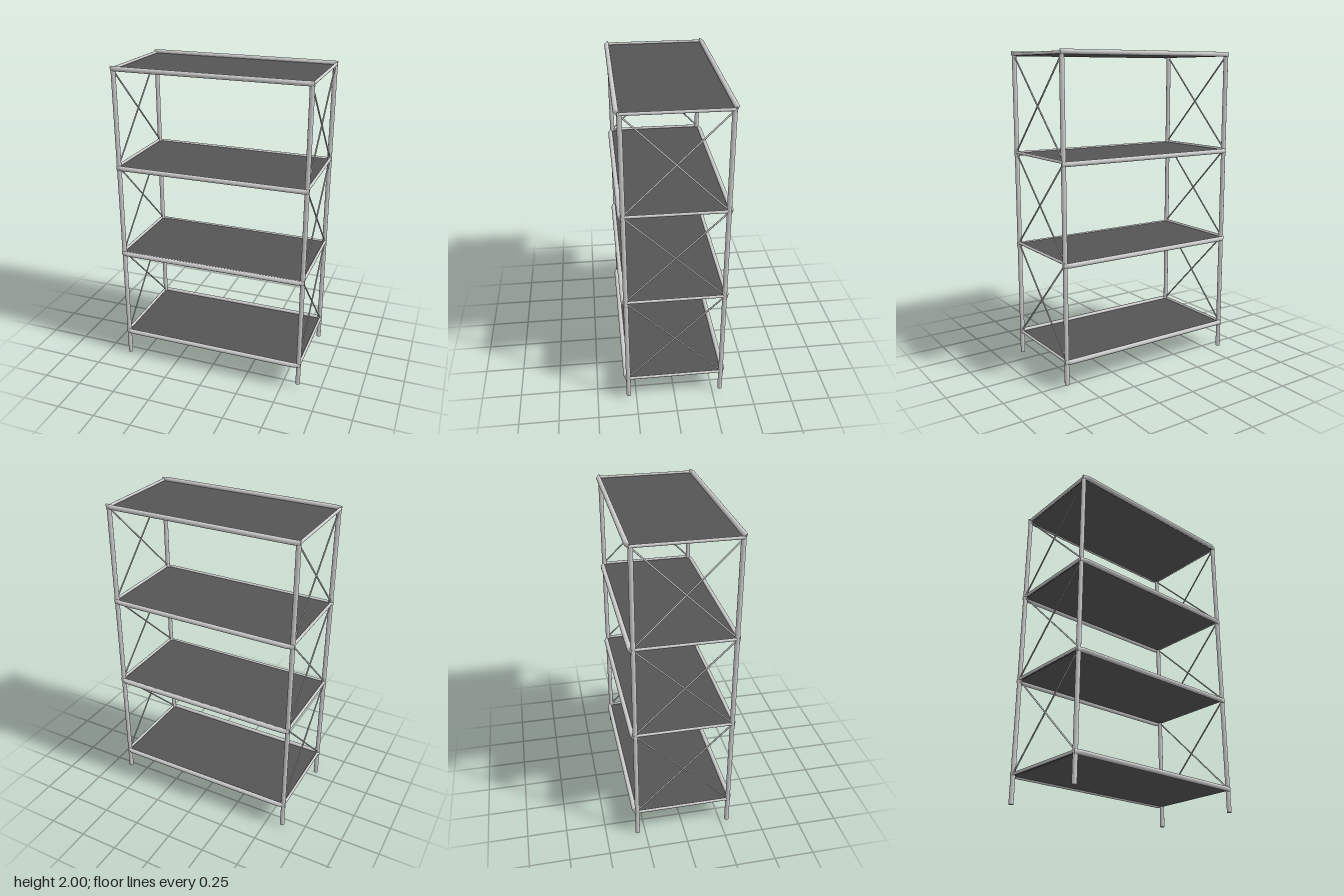
import * as THREE from 'three';

const grey = new THREE.MeshStandardMaterial({ color: 0xcccccc });
const dark = new THREE.MeshStandardMaterial({ color: 0x555555 });

// Round bar between two points
function bar(name, a, b, radius, sides = 14) {
  const from = new THREE.Vector3(...a), to = new THREE.Vector3(...b);
  const dir = to.clone().sub(from);
  const mesh = new THREE.Mesh(new THREE.CylinderGeometry(radius, radius, dir.length(), sides), grey);
  mesh.name = name;
  mesh.position.copy(from).add(to).multiplyScalar(0.5);
  mesh.quaternion.setFromUnitVectors(new THREE.Vector3(0, 1, 0), dir.normalize());
  return mesh;
}

// Long tube along x whose ends are pinched flat towards the posts
function pinchedRail(length, radius, inward) {
  const rings = [-0.5, -0.465, 0.465, 0.5];
  const geo = new THREE.CylinderGeometry(radius, radius, length, 16, 3);
  geo.rotateZ(-Math.PI / 2);
  const p = geo.attributes.position;
  for (let i = 0; i < p.count; i++) {
    const ring = Math.round((p.getX(i) / length + 0.5) * 3);
    p.setX(i, rings[ring] * length);
    if (ring === 0 || ring === 3) p.setZ(i, p.getZ(i) * 0.3 + inward * 0.008);
  }
  geo.computeVertexNormals();
  return geo;
}

export function createModel() {
  const model = new THREE.Group();
  const X = 0.604, Z = 0.299;
  const railY = [0.174, 0.77, 1.364, 1.985];
  const sideY = [0.178, 0.784, 1.375, 1.982];

  // Corner posts, the left pair ending a little higher
  for (const sx of [-1, 1]) {
    for (const sz of [-1, 1]) {
      model.add(bar('post', [sx * X, sx > 0 ? 0.03 : 0, sz * Z], [sx * X, 1.976, sz * Z], 0.0145));
    }
  }

  railY.forEach((y, i) => {
    const level = new THREE.Group();
    level.name = 'shelfLevel';

    // Thin shelf panel
    const panel = new THREE.Mesh(new THREE.BoxGeometry(1.2, 0.006, 0.61), dark);
    panel.name = 'shelfPanel';
    panel.position.y = sideY[i] - 0.007;
    level.add(panel);

    // Front and back rails
    for (const sz of [-1, 1]) {
      const rail = new THREE.Mesh(pinchedRail(1.236, 0.015, -sz), grey);
      rail.name = sz > 0 ? 'frontRail' : 'backRail';
      rail.position.set(0, y, sz * 0.314);
      level.add(rail);
    }

    // Thin side rails
    for (const sx of [-1, 1]) {
      level.add(bar('sideRail', [sx * 0.609, sideY[i], -0.31], [sx * 0.609, sideY[i], 0.31], 0.009));
    }
    model.add(level);
  });

  // Crossed side braces in each bay
  for (let i = 0; i < 3; i++) {
    const low = sideY[i] + 0.005, high = sideY[i + 1] - 0.008;
    for (const sx of [-1, 1]) {
      for (const sz of [-1, 1]) {
        model.add(bar('crossBrace', [sx * X, low, sz * Z], [sx * X, high, -sz * Z], 0.005, 8));
      }
    }
  }
  return model;
}
